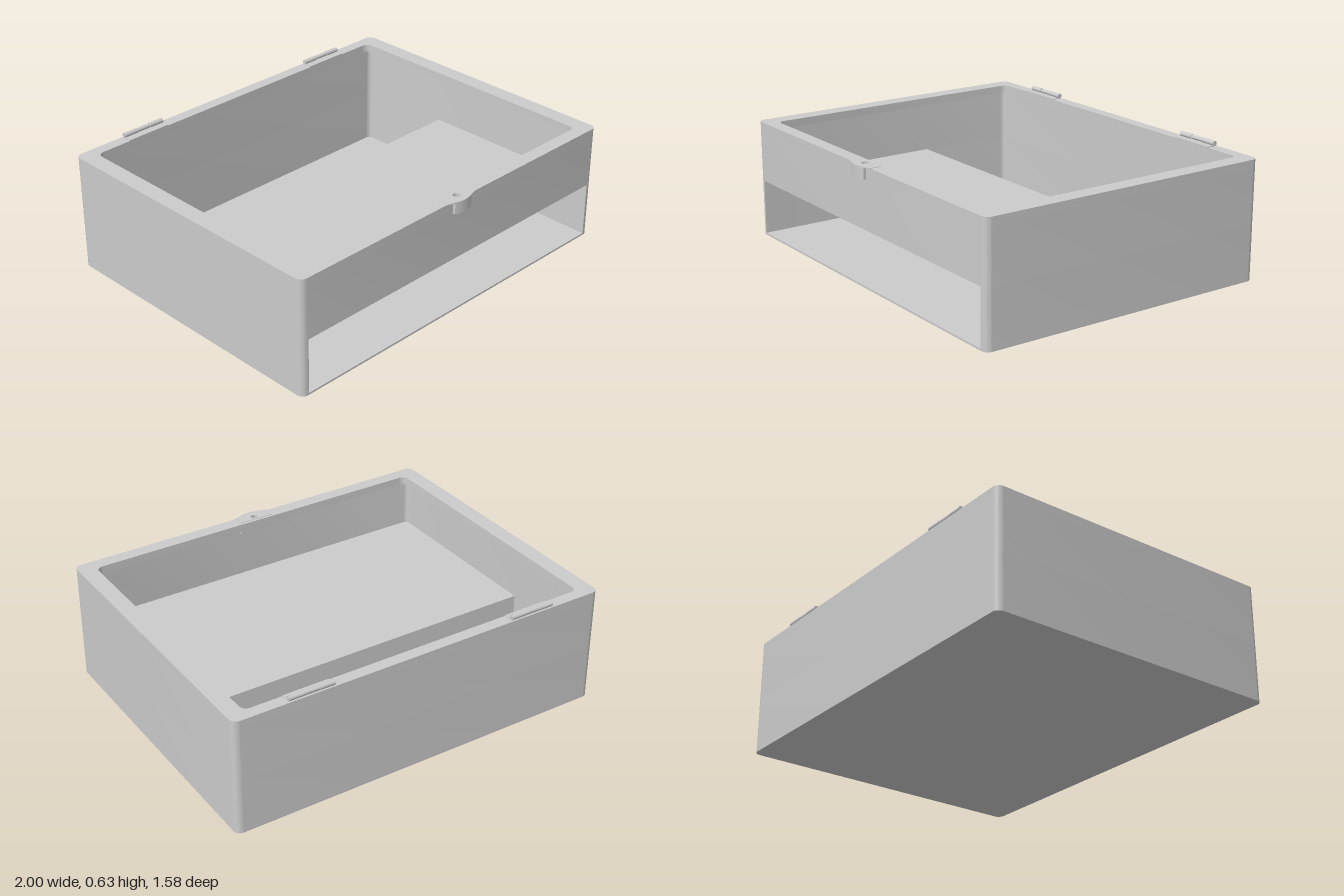
import * as THREE from 'three';
import { toCreasedNormals } from 'three/addons/utils/BufferGeometryUtils.js';

const material = new THREE.MeshStandardMaterial({ color: 0xcccccc, side: THREE.DoubleSide });

// Plans are drawn as (x, -z) and extruded upward
function roundedRect(path, hx, zBack, zFront, r) {
  const y0 = -zFront, y1 = -zBack;
  path.moveTo(-hx + r, y0);
  path.lineTo(hx - r, y0);
  path.absarc(hx - r, y0 + r, r, -Math.PI / 2, 0);
  path.absarc(hx - r, y1 - r, r, 0, Math.PI / 2);
  path.absarc(-hx + r, y1 - r, r, Math.PI / 2, Math.PI);
  path.absarc(-hx + r, y0 + r, r, Math.PI, Math.PI * 1.5);
  return path;
}

function circle(x, z, r) {
  return new THREE.Path().absarc(x, -z, r, 0, Math.PI * 2);
}

function slab(name, shape, y0, y1) {
  const geo = new THREE.ExtrudeGeometry(shape, { depth: y1 - y0, bevelEnabled: false, curveSegments: 8 });
  geo.rotateX(-Math.PI / 2).translate(0, y0, 0);
  const mesh = new THREE.Mesh(toCreasedNormals(geo, 0.6), material);
  mesh.name = name;
  return mesh;
}

function box(name, w, h, d, x, y, z) {
  const mesh = new THREE.Mesh(new THREE.BoxGeometry(w, h, d), material);
  mesh.position.set(x, y, z);
  mesh.name = name;
  return mesh;
}

const outer = () => roundedRect(new THREE.Shape(), 1, -0.79, 0.765, 0.035);
const cavity = () => roundedRect(new THREE.Path(), 0.96, -0.75, 0.725, 0.025);

// Walls around the drawer opening, open at the front
function openWalls() {
  const r = 0.035, s = new THREE.Shape();
  s.moveTo(0.96, -0.765);
  s.lineTo(1 - r, -0.765);
  s.absarc(1 - r, -0.765 + r, r, -Math.PI / 2, 0);
  s.absarc(1 - r, 0.79 - r, r, 0, Math.PI / 2);
  s.absarc(-1 + r, 0.79 - r, r, Math.PI / 2, Math.PI);
  s.absarc(-1 + r, -0.765 + r, r, Math.PI, Math.PI * 1.5);
  s.lineTo(-0.96, -0.765);
  s.lineTo(-0.96, 0.725);
  s.absarc(-0.935, 0.725, 0.025, Math.PI, Math.PI / 2, true);
  s.absarc(0.935, 0.725, 0.025, Math.PI / 2, 0, true);
  return s;
}

// Leaf plate with a barrel of three knuckles
function hinge(x) {
  const group = new THREE.Group();
  group.name = 'hinge';
  group.add(box('hingeLeaf', 0.235, 0.004, 0.05, x, 0.602, -0.755));
  group.add(box('hingeUpright', 0.235, 0.01, 0.006, x, 0.606, -0.775));
  [-1, 0, 1].forEach((k) => {
    const r = k === 0 ? 0.011 : 0.0125;
    const knuckle = new THREE.Mesh(new THREE.CylinderGeometry(r, r, 0.077, 20), material);
    knuckle.rotation.z = Math.PI / 2;
    knuckle.position.set(x + k * 0.079, 0.6135, -0.776);
    knuckle.name = 'hingeKnuckle';
    group.add(knuckle);
  });
  return group;
}

// Catch on the front rim: pierced plate and curved lug
function latch() {
  const group = new THREE.Group();
  group.name = 'latch';
  const plate = new THREE.Shape();
  plate.moveTo(-0.095, -0.71);
  plate.lineTo(-0.095, -0.768);
  plate.lineTo(-0.055, -0.779);
  plate.quadraticCurveTo(0, -0.801, 0.055, -0.779);
  plate.lineTo(0.095, -0.768);
  plate.lineTo(0.095, -0.71);
  plate.holes.push(circle(0, 0.735, 0.017));
  group.add(slab('latchPlate', plate, 0.597, 0.602));

  const lug = new THREE.Shape();
  lug.moveTo(-0.055, -0.76);
  lug.lineTo(-0.055, -0.779);
  lug.quadraticCurveTo(0, -0.801, 0.055, -0.779);
  lug.lineTo(0.055, -0.76);
  group.add(slab('latchLug', lug, 0.54, 0.599));
  group.add(box('latchBacking', 0.2, 0.02, 0.03, 0, 0.552, 0.711));
  return group;
}

export function createModel() {
  const model = new THREE.Group();
  model.name = 'box';

  // Case, stacked from the floor to the rim
  model.add(slab('floor', outer(), 0, 0.01));
  model.add(slab('lowerWalls', openWalls(), 0.01, 0.29));
  const upper = outer();
  upper.holes.push(cavity());
  model.add(slab('upperWalls', upper, 0.29, 0.56));
  const rim = outer();
  rim.holes.push(roundedRect(new THREE.Path(), 0.915, -0.73, 0.695, 0.035), circle(0, 0.735, 0.017));
  model.add(slab('rim', rim, 0.56, 0.6));

  // Shelf over the drawer bay, with the bay's back wall
  model.add(box('shelf', 1.92, 0.01, 0.96, 0, 0.295, 0.25));
  model.add(box('bayBackWall', 1.92, 0.28, 0.01, 0, 0.15, -0.225));

  // Hardware
  for (const side of [-1, 1]) model.add(hinge(side * 0.603));
  model.add(latch());
  return model;
}
